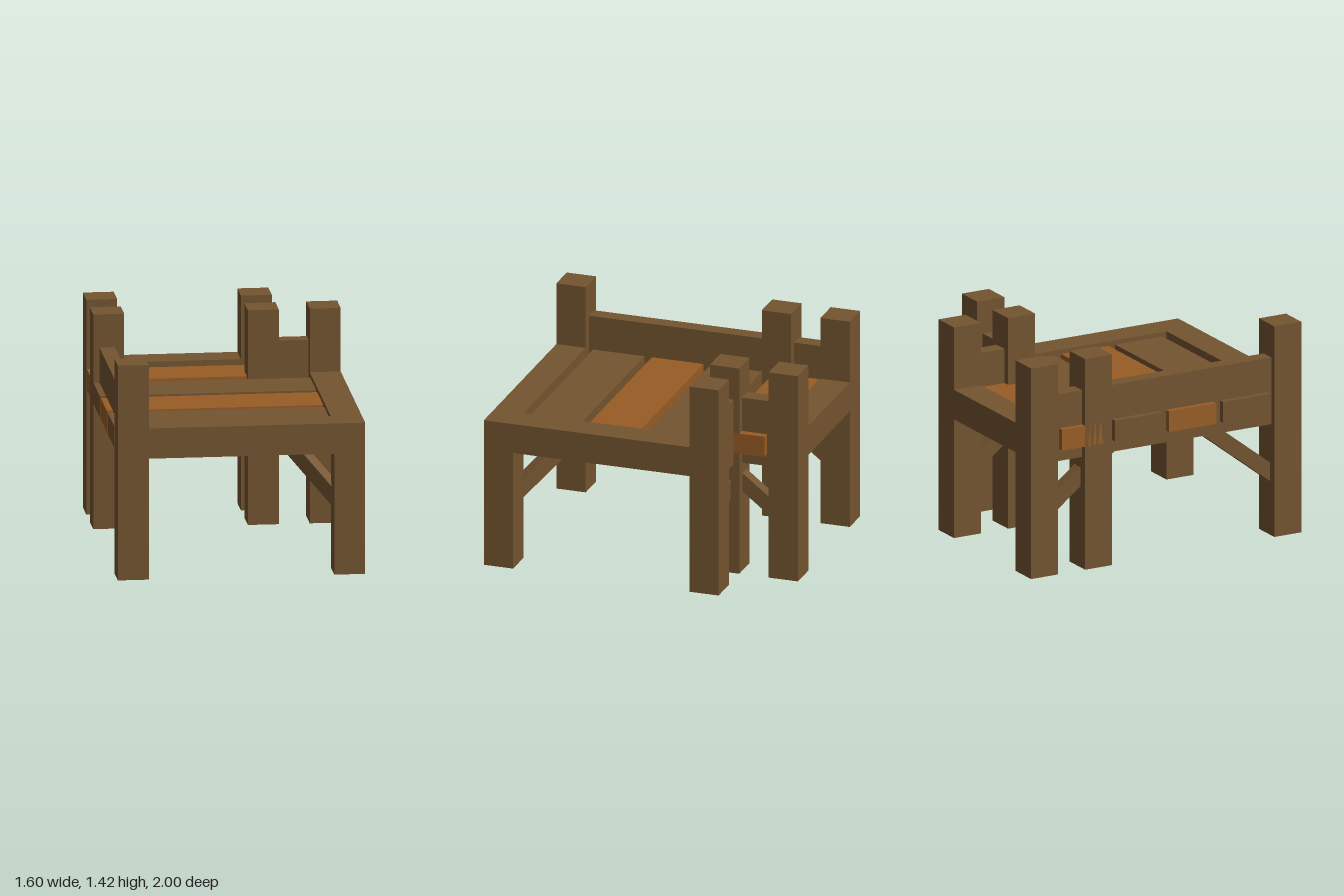
import * as THREE from 'three';

export function createModel() {
  const model = new THREE.Group();
  const darkWood = new THREE.MeshStandardMaterial({ color: 0x74542f });
  darkWood.name = 'dark wood';
  const warmWood = new THREE.MeshStandardMaterial({ color: 0x985c25 });
  warmWood.name = 'warm wood';

  // Box given by its extents on each axis
  function block(name, [x0, x1], [y0, y1], [z0, z1], material = darkWood) {
    const mesh = new THREE.Mesh(new THREE.BoxGeometry(x1 - x0, y1 - y0, z1 - z0), material);
    mesh.position.set((x0 + x1) / 2, (y0 + y1) / 2, (z0 + z1) / 2);
    mesh.name = name;
    model.add(mesh);
  }

  // Posts: centre x, centre z, height
  const posts = [
    ['frontRightPost', -0.7, 0.9, 1.42],
    ['frontLeftPost', 0.7, 0.9, 1],
    ['leftPost', 0.7, -0.5, 1.42],
    ['innerPost', 0.3, -0.5, 1.42],
    ['backLeftPost', 0.3, -0.9, 1.42],
    ['rightPost', -0.7, -0.5, 1.42],
    ['backRightPost', -0.7, -0.9, 1.42],
  ];
  for (const [name, x, z, h] of posts) {
    block(name, [x - 0.1, x + 0.1], [0, h], [z - 0.1, z + 0.1]);
  }

  // Thick frame beams, level with the deck
  const beam = [0.8, 1];
  block('frontBeam', [-0.6, 0.6], beam, [0.8, 1]);
  block('leftBeam', [0.6, 0.8], beam, [-0.4, 0.8]);
  block('backBeam', [-0.6, 0.2], beam, [-1, -0.8]);

  // Thin, taller side rails
  const rail = [0.75, 1.2];
  block('rightRail', [-0.76, -0.66], rail, [-0.4, 0.8]);
  block('backRightRail', [-0.76, -0.66], rail, [-0.8, -0.6]);
  block('backLeftRail', [0.245, 0.35], rail, [-0.8, -0.6]);
  block('cornerRail', [0.4, 0.6], rail, [-0.56, -0.46]);

  // Deck planks, running through the right rail
  const plank = [0.83, 0.97];
  block('frontPlank', [-0.8, 0.6], plank, [0.42, 0.77]);
  block('middlePlank', [-0.8, 0.6], plank, [0.02, 0.37], warmWood);
  block('rearPlank', [-0.8, 0.6], plank, [-0.38, -0.03]);
  block('backPlank', [-0.8, 0.4], plank, [-0.77, -0.46], warmWood);

  // Diagonal braces: start at a post and rise in the direction of turn
  const tilt = 0.66, length = 0.72, thick = 0.1;
  function brace(name, x, z, turn, reach) {
    const pivot = new THREE.Group();
    pivot.name = name;
    pivot.position.set(x, 0, z);
    pivot.rotation.y = turn;
    const bar = new THREE.Mesh(new THREE.BoxGeometry(length, thick, 0.08), darkWood);
    bar.name = name + 'Bar';
    const c = Math.cos(tilt), s = Math.sin(tilt);
    bar.position.set(reach - c * length / 2 - s * thick / 2, 0.765 - s * length / 2 + c * thick / 2, 0);
    bar.rotation.z = tilt;
    pivot.add(bar);
    model.add(pivot);
  }
  brace('frontRightBrace', -0.7, 0.9, Math.PI / 2, 0.62);
  brace('frontLeftBrace', 0.7, 0.9, Math.PI * 0.75, 0.545);
  brace('leftBrace', 0.7, -0.5, Math.PI, 0.62);
  brace('backLeftBrace', 0.3, -0.9, -Math.PI / 2, 0.58);
  brace('backRightBrace', -0.7, -0.9, -Math.PI / 2, 0.58);

  return model;
}
